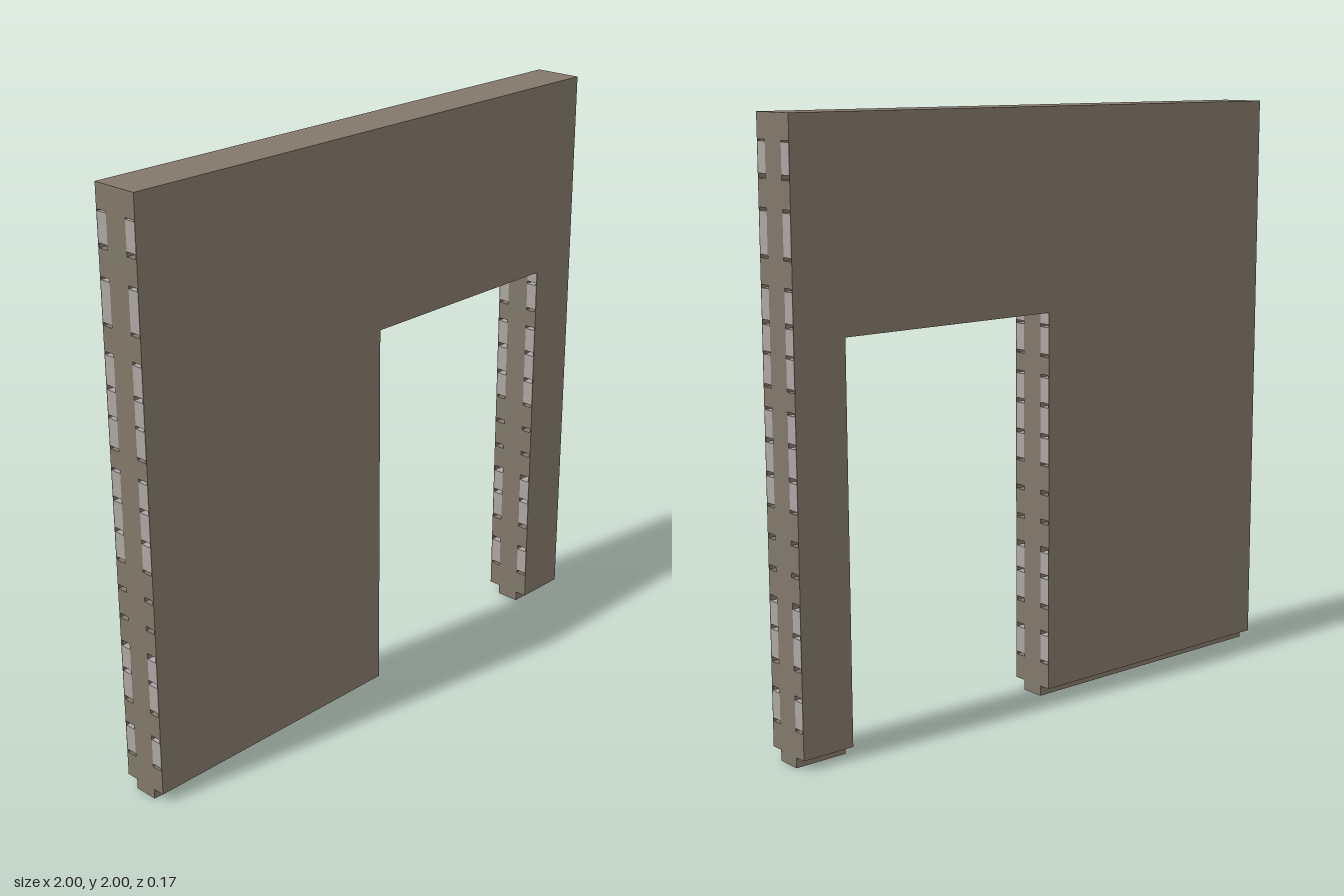
import * as THREE from 'three';

const DOOR_LEFT = 0, DOOR_RIGHT = 0.815, DOOR_TOP = 1.33;
const CORE_HALF = 0.042, SKIN_IN = 0.08, SKIN_OUT = 0.084, SKIRT = 0.035;

const brown = new THREE.MeshStandardMaterial({ color: 0x82786a });
brown.name = 'wall brown';
const grey = new THREE.MeshStandardMaterial({ color: 0xaaa6a2 });
grey.name = 'stone grey';

// Wall outline with a doorway open to the floor, extruded between two depths
function doorwayPanel(name, bottom, z0, z1) {
  const shape = new THREE.Shape([
    [-1, bottom], [DOOR_LEFT, bottom], [DOOR_LEFT, DOOR_TOP], [DOOR_RIGHT, DOOR_TOP],
    [DOOR_RIGHT, bottom], [1, bottom], [1, 2], [-1, 2],
  ].map(([x, y]) => new THREE.Vector2(x, y)));
  const geometry = new THREE.ExtrudeGeometry(shape, { depth: z1 - z0, bevelEnabled: false });
  geometry.translate(0, 0, z0);
  const mesh = new THREE.Mesh(geometry, brown);
  mesh.name = name;
  return mesh;
}

// Horizontal courses between core and skin: [bottom, top, is grey]
const courses = [
  [0.035, 0.12, 0], [0.13, 0.22, 1], [0.235, 0.315, 0], [0.33, 0.42, 1], [0.435, 0.51, 1],
  [0.53, 0.61, 0], [0.625, 0.71, 0], [0.725, 0.81, 0], [0.82, 0.905, 1], [0.92, 1.01, 1],
  [1.025, 1.11, 1], [1.12, 1.18, 0], [1.19, 1.28, 1], [1.29, 1.37, 1], [1.385, 1.48, 1],
  [1.49, 1.57, 0], [1.58, 1.71, 1], [1.72, 1.805, 0], [1.82, 1.915, 1], [1.92, 2, 0],
];

export function createModel() {
  const wall = new THREE.Group();
  wall.name = 'doorwayWall';
  wall.add(doorwayPanel('core', 0, -CORE_HALF, CORE_HALF));

  for (const side of [1, -1]) {
    const face = new THREE.Group();
    face.name = side > 0 ? 'frontFace' : 'backFace';
    wall.add(face);

    // Thin outer skin, stopping above the foot of the core
    face.add(side > 0
      ? doorwayPanel('frontSkin', SKIRT, SKIN_IN, SKIN_OUT)
      : doorwayPanel('backSkin', SKIRT, -SKIN_OUT, -SKIN_IN));

    // Spaced courses, interrupted by the doorway
    const strip = (x0, x1, y0, y1, isGrey) => {
      const mesh = new THREE.Mesh(
        new THREE.BoxGeometry(x1 - x0, y1 - y0, SKIN_IN - CORE_HALF), isGrey ? grey : brown);
      mesh.position.set((x0 + x1) / 2, (y0 + y1) / 2, side * (CORE_HALF + SKIN_IN) / 2);
      mesh.name = 'course';
      face.add(mesh);
    };
    for (const [y0, y1, isGrey] of courses) {
      if (y0 < DOOR_TOP) {
        const top = Math.min(y1, DOOR_TOP);
        strip(-1, DOOR_LEFT, y0, top, isGrey);
        strip(DOOR_RIGHT, 1, y0, top, isGrey);
      }
      if (y1 > DOOR_TOP) strip(-1, 1, Math.max(y0, DOOR_TOP), y1, isGrey);
    }
  }
  return wall;
}
